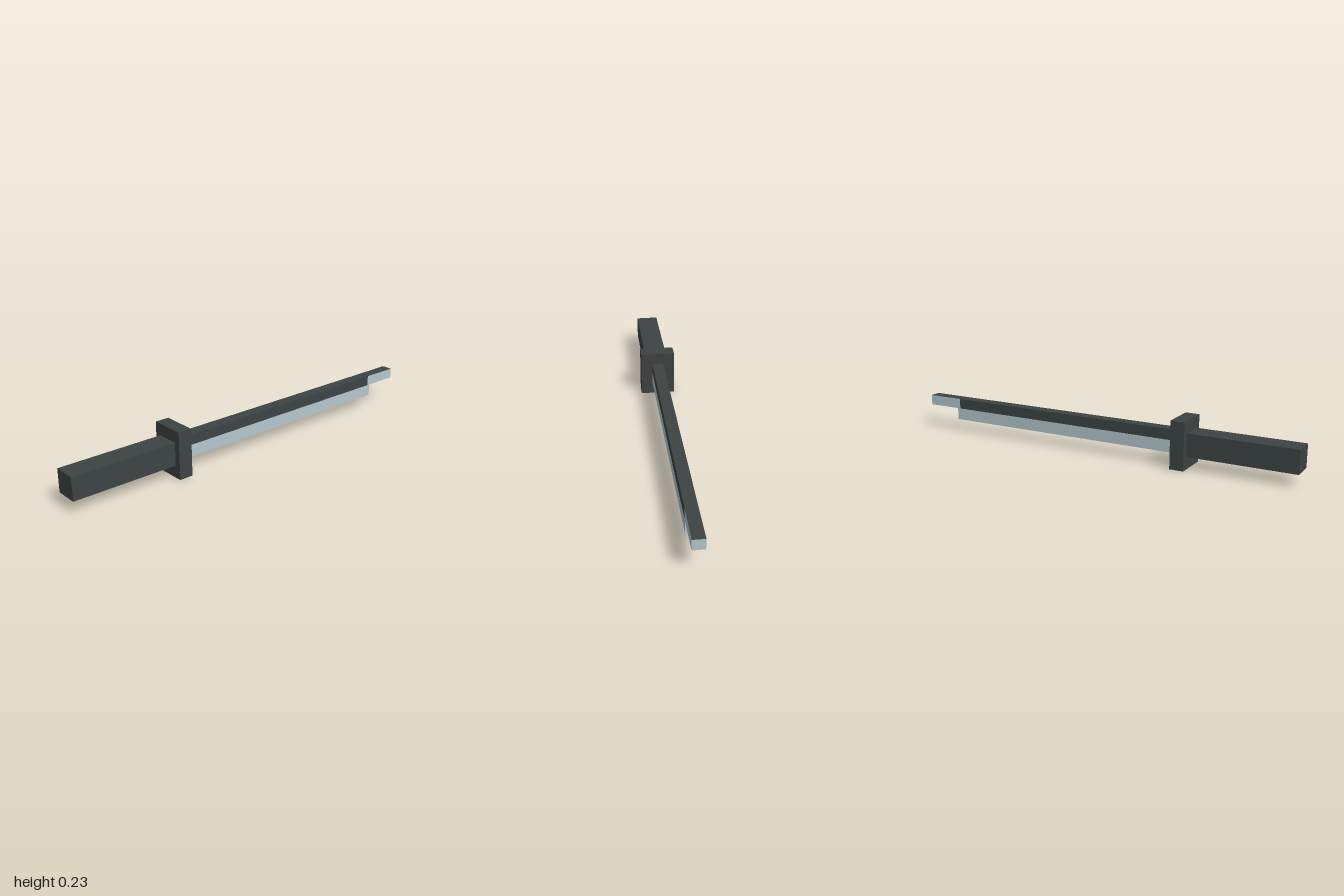
import * as THREE from 'three';

export function createModel() {
  const group = new THREE.Group();
  const dark = new THREE.MeshStandardMaterial({ color: 0x3d4443 });
  dark.name = 'charcoal';
  const steel = new THREE.MeshStandardMaterial({ color: 0xb5c8cf });
  steel.name = 'pale steel';

  // Box given by its width and its limits in y and z, centred on x = 0
  function block(name, width, y0, y1, z0, z1, material) {
    const mesh = new THREE.Mesh(new THREE.BoxGeometry(width, y1 - y0, z1 - z0), material);
    mesh.position.set(0, (y0 + y1) / 2, (z0 + z1) / 2);
    mesh.name = name;
    group.add(mesh);
  }

  // Handle
  block('grip', 0.11, 0.06, 0.17, 0.488, 1, dark);
  block('guard', 0.17, 0, 0.227, 0.42, 0.488, dark);

  // Blade: dark spine over a pale cutting edge
  block('spine', 0.056, 0.119, 0.17, -0.81, 0.42, dark);
  block('cuttingEdge', 0.056, 0.06, 0.119, -0.825, 0.42, steel);

  // Stepped tip, pale with a dark top face
  block('tip', 0.056, 0.119, 0.17, -1, -0.81, [steel, steel, dark, steel, steel, steel]);

  return group;
}
